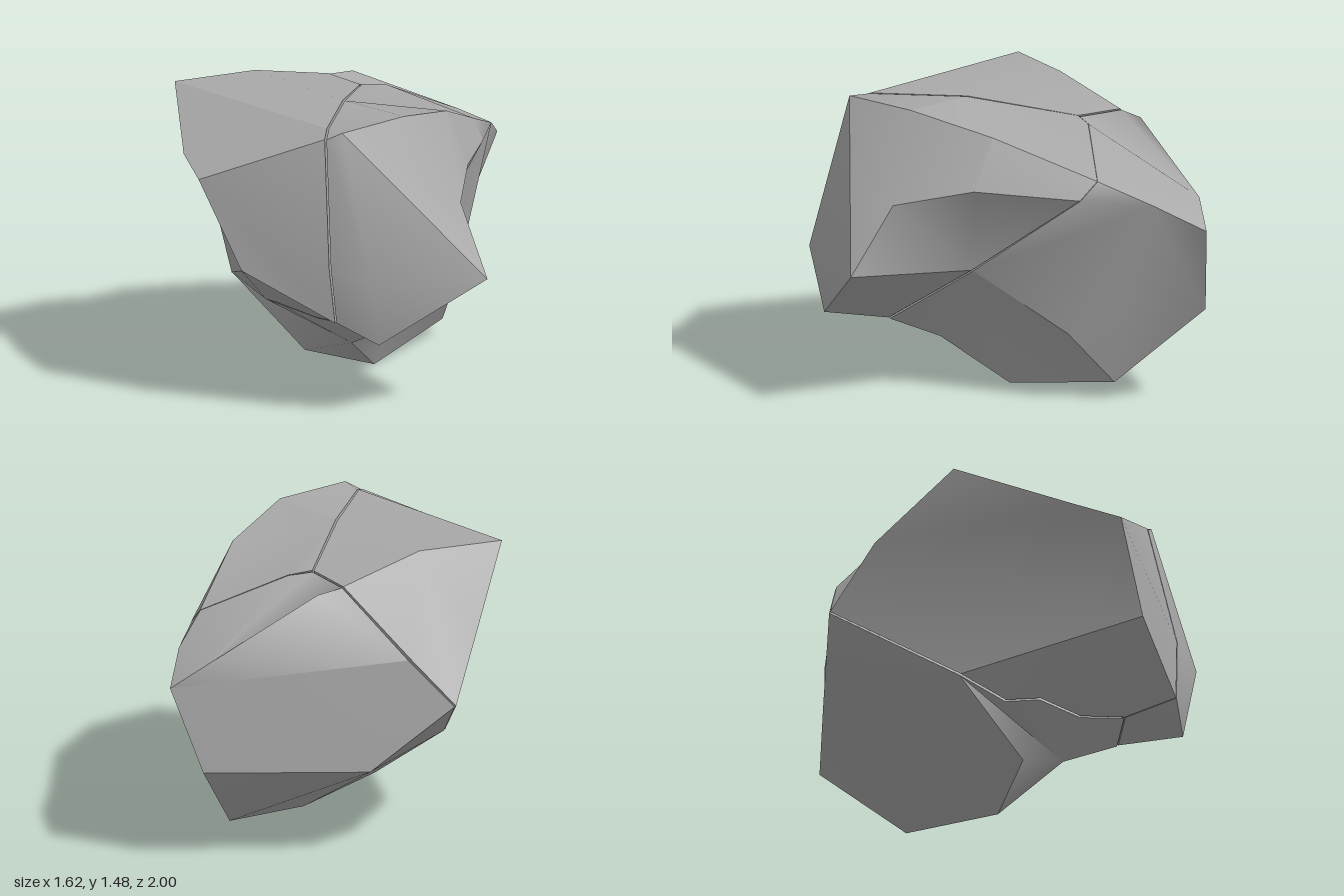
import * as THREE from 'three';
import { mergeGeometries, toCreasedNormals } from 'three/addons/utils/BufferGeometryUtils.js';

// Corners along the cracks, shared by neighbouring chunks
const crack = {
  J: [0.13, 1.385, -0.38], K: [-0.04, 1.375, -0.6], Q: [-0.4, 1.05, -0.78],
  S: [-0.635, 0.8, -0.775], T: [-0.53, 0.45, -0.11], U: [-0.35, 0.37, 0.1],
  V: [-0.28, 0.4, 0.27], W: [-0.08, 0.38, 0.45], G: [0.05, 0.42, 0.66], H: [0.21, 0.34, 0.6],
  E1: [0.05, 1.475, 0.19], E2: [-0.025, 1.475, 0.69],
  M1: [-0.035, 1.445, 0.79], M2: [-0.01, 0.8, 0.94], M3: [0.02, 0.5, 0.93],
  D1: [0.25, 1.37, -0.42], D2: [0.7, 1.18, -0.45], D3: [0.75, 1.09, -0.36], D4: [0.45, 0.65, 0.18],
};

// Half the crack width, with the corners where it is wider or narrower
const halfGap = 0.011;
const specialGap = { Q: 0.018, S: 0.014, D1: 0.004, D2: 0.003, D3: 0.003, D4: 0.006 };

// Each chunk: its own corners, its outer faces as corner loops, and its rim along the cracks
const chunks = {
  leftChunk: {
    corners: {
      a1: [-0.815, 1.475, -0.1], a2: [-0.76, 1.27, 0.49], a3: [-0.68, 1.21, 0.74],
      a4: [-0.46, 0.75, 0.82], a5: [-0.41, 1.475, -0.3], a6: [-0.72, 1.13, -0.52],
    },
    faces: [
      'E1 J K a5 a1 E2',        // top
      'E2 a1 a2 a3 M1',         // top, sloping to the front
      'a3 a4 M3 M2 M1',         // front
      'a4 T U V W G M3',        // underside
      'a6 a1 a2 a3 a4 T S',     // side
      'a5 a1 a6 S Q K',         // back
    ],
    rim: 'J K Q S T U V W G M3 M2 M1 E2 E1',
  },
  rightChunk: {
    corners: {
      b1: [0.05, 1.475, 0.79], b2: [0.36, 1.475, 0.49], b3: [0.57, 1.38, 0.08],
      b4: [0.65, 1.05, 0.59], b5: [0.68, 1.125, 0.18], tip: [0.79, 0.71, 0.81],
      nose: [0.2, 0.73, 1], chin: [0.24, 0.39, 0.925],
    },
    faces: [
      'E2 M1 b1 b2 E1',                 // top
      'E1 b2 b3 D2 D1 J',               // top, sloping to the back
      'b4 tip b1 b2 b3 b5',             // side
      'b3 D2 D3 b5',
      'D4 tip b4 b5 D3',                // hollow below the side
      'tip D4 H chin',                  // underside
      'chin H G M3',
      'nose M1 b1 tip chin M3 M2 M1',   // front
    ],
    rim: 'J E1 E2 M1 M2 M3 G H D4 D3 D2 D1',
  },
  lowerChunk: {
    corners: {
      p1: [0.81, 0.94, -1], p2: [0.64, 0.49, -1], p3: [-0.2, 0.47, -0.86], p4: [0.54, 0.085, -0.54],
      r: [0.785, 1.07, -0.73], c1: [0.61, 1.07, -0.97], c2: [0.08, 1.355, -0.69],
      c3: [0.61, 0.36, -0.3], c4: [-0.15, 0.13, 0.16], c5: [0.09, 0.22, 0.33], foot: [0.2, 0, -0.02],
    },
    faces: [
      'c1 p1 r D2 D1 J K c2',         // dished top
      'Q K c2 c1 p1',                 // upper back
      'p3 S Q p1 p2',                 // back
      'r D2 D3 D4 c3 p4 p2 p1',       // side
      'D4 c3 p4 foot c5 H',           // lower front
      'c5 H G W V U T c4 foot',       // lower left
      'p3 S T c4 foot p4 p2',         // bottom
    ],
    rim: 'J K Q S T U V W G H D4 D3 D2 D1',
  },
};

const core = new THREE.Vector3(0.05, 0.8, 0.05);

// Fan of triangles over a loop, facing away from an inner point and smooth within itself
function makeFace(loop, inner) {
  const normal = new THREE.Vector3();
  const middle = new THREE.Vector3();
  loop.forEach((p, i) => {
    normal.add(p.clone().cross(loop[(i + 1) % loop.length]));
    middle.addScaledVector(p, 1 / loop.length);
  });
  const flip = normal.dot(middle.sub(inner)) < 0;
  const triangles = [];
  for (let i = 1; i < loop.length - 1; i++) {
    triangles.push(loop[0], loop[flip ? i + 1 : i], loop[flip ? i : i + 1]);
  }
  return toCreasedNormals(new THREE.BufferGeometry().setFromPoints(triangles), 1.3);
}

function makeChunk({ corners, faces, rim }, material) {
  const points = {};
  const centre = new THREE.Vector3();
  const rimNames = rim.split(' ');
  for (const n in corners) points[n] = new THREE.Vector3(...corners[n]);
  for (const n of rimNames) points[n] = new THREE.Vector3(...crack[n]);
  const all = Object.values(points);
  all.forEach((p) => centre.addScaledVector(p, 1 / all.length));

  // Pull the rim back a little so a thin gap opens between the chunks
  for (const n of rimNames) {
    const inward = centre.clone().sub(points[n]).normalize();
    points[n].addScaledVector(inward, specialGap[n] ?? halfGap);
  }
  const outside = faces.map((f) => makeFace(f.split(' ').map((n) => points[n]), core));

  // Crack walls run from the rim to the core
  const walls = rimNames.map((n, i) =>
    makeFace([core, points[n], points[rimNames[(i + 1) % rimNames.length]]], centre));
  return new THREE.Mesh(mergeGeometries([...outside, ...walls]), material);
}

export function createModel() {
  const rock = new THREE.Group();
  rock.name = 'crackedRock';
  const stone = new THREE.MeshStandardMaterial({ color: 0xa8a8a8 });
  stone.name = 'grey stone';
  for (const name in chunks) {
    const mesh = makeChunk(chunks[name], stone);
    mesh.name = name;
    rock.add(mesh);
  }
  return rock;
}
